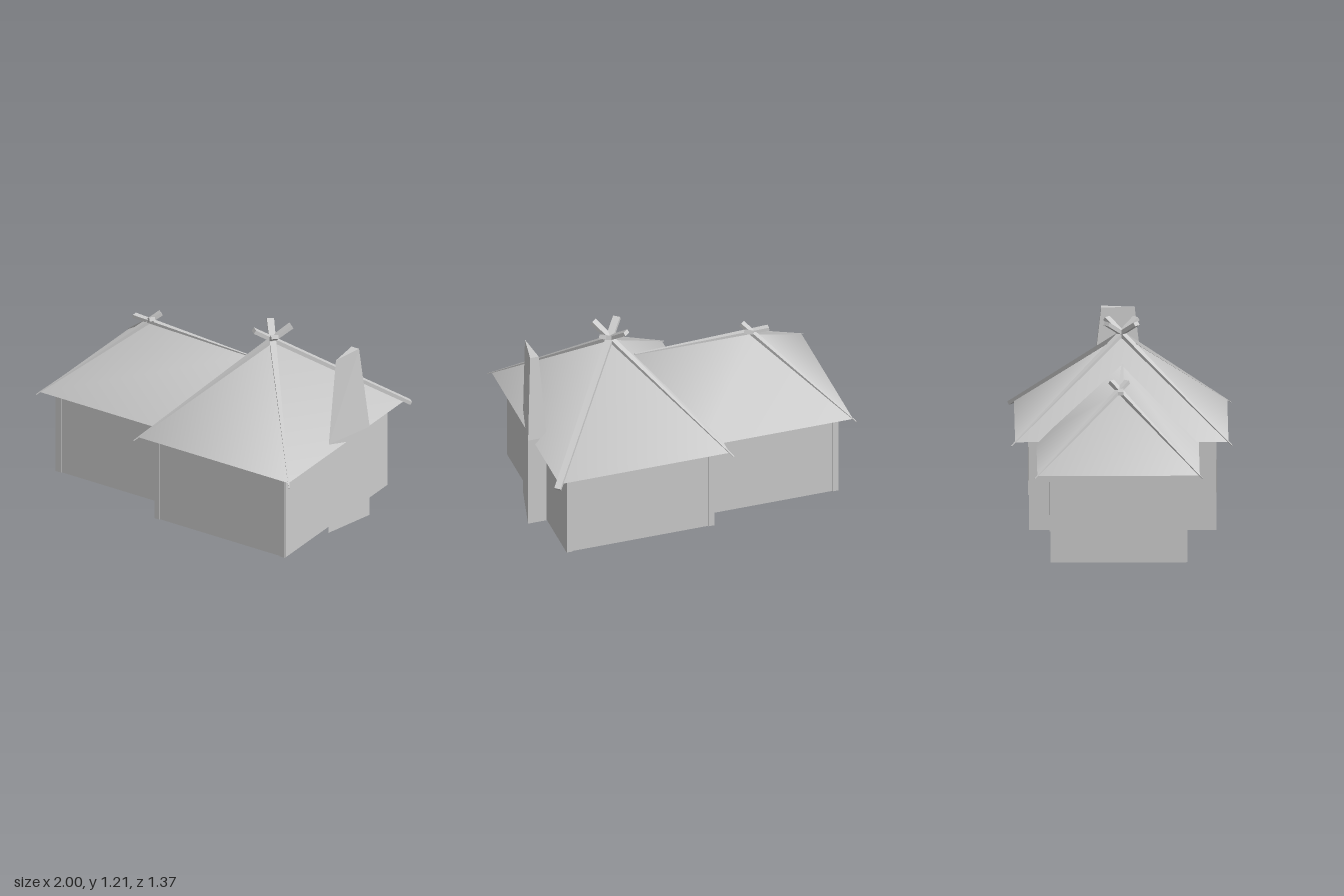
import * as THREE from 'three';

const material = new THREE.MeshStandardMaterial({ color: 0xcccccc, side: THREE.DoubleSide });

function createMesh(geometry, name) {
  const mesh = new THREE.Mesh(geometry, material);
  mesh.name = name;
  return mesh;
}

// Surface from corner points and triangles; smooth keeps shared normals
function surface(points, faces, smooth) {
  let geo = new THREE.BufferGeometry();
  geo.setAttribute('position', new THREE.Float32BufferAttribute(points.flat(), 3));
  geo.setIndex(faces.flat());
  if (!smooth) geo = geo.toNonIndexed();
  geo.computeVertexNormals();
  return geo;
}

// Skin stacked rings of equal corner count, leaving both ends open
function loft(rings, extraFaces = []) {
  const n = rings[0].length;
  const faces = [];
  for (let r = 0; r < rings.length - 1; r++) {
    for (let i = 0; i < n; i++) {
      const a = r * n + i, b = r * n + (i + 1) % n;
      faces.push([a, b, b + n], [a, b + n, a + n]);
    }
  }
  return surface(rings.flat(), faces.concat(extraFaces), false);
}

const rectangle = (x0, x1, z0, z1, y) => [[x0, y, z1], [x1, y, z1], [x1, y, z0], [x0, y, z0]];

// Timber between two points; startScale narrows its first end
function beam(name, from, to, width, height, startScale = 1) {
  const a = new THREE.Vector3(...from), b = new THREE.Vector3(...to);
  const geo = new THREE.BoxGeometry(width, height, a.distanceTo(b));
  const pos = geo.attributes.position;
  for (let i = 0; i < pos.count; i++) {
    if (pos.getZ(i) < 0) pos.setXY(i, pos.getX(i) * startScale, pos.getY(i) * startScale);
  }
  geo.computeVertexNormals();
  const mesh = createMesh(geo, name);
  mesh.position.copy(a).lerp(b, 0.5);
  mesh.lookAt(b);
  return mesh;
}

// Timber along a roof hip, running past the apex
function hipBeam(corner, apex, overshoot, width, startScale) {
  const a = new THREE.Vector3(...corner), p = new THREE.Vector3(...apex);
  const start = a.clone().lerp(p, -0.035);
  const end = a.clone().lerp(p, 1 + overshoot);
  end.y += 0.008;
  return beam('hipBeam', start.toArray(), end.toArray(), width, 0.025, startScale);
}

// Open-bottomed walls with a post at each corner, flush with the end walls
function walls(name, x0, x1, z0, z1, height) {
  const group = new THREE.Group();
  group.name = name;
  const inset = 0.006, post = 0.038, bottom = 0.004;
  group.add(createMesh(loft([bottom, height].map(
    (y) => rectangle(x0, x1, z0 + inset, z1 - inset, y))), 'wallPanels'));
  for (const x of [x0 + post / 2 + 0.001, x1 - post / 2 - 0.001]) {
    for (const z of [z0 + post / 2, z1 - post / 2]) {
      const mesh = createMesh(new THREE.BoxGeometry(post, height - bottom, post), 'cornerPost');
      mesh.position.set(x, (height + bottom) / 2, z);
      group.add(mesh);
    }
  }
  return group;
}

// Thin panel lying on a front or back wall
function panel(name, w, h, x, y, z) {
  const mesh = createMesh(new THREE.PlaneGeometry(w, h), name);
  mesh.position.set(x, y, z);
  if (z < 0) mesh.rotation.y = Math.PI;
  return mesh;
}

export function createModel() {
  const house = new THREE.Group();
  house.name = 'cottage';

  // Two joined blocks
  house.add(walls('mainWalls', -0.075, 0.88, -0.58, 0.57, 0.575));
  house.add(walls('wingWalls', -0.92, -0.07, -0.455, 0.385, 0.565));

  // Main pyramid roof with a flat underside
  const mainEaves = rectangle(-0.145, 0.955, -0.665, 0.642, 0.575);
  const mainApex = [0.41, 1.12, -0.01];
  house.add(createMesh(surface([...mainEaves, mainApex],
    [[0, 1, 4], [1, 2, 4], [2, 3, 4], [3, 0, 4]], true), 'mainRoof'));
  house.add(createMesh(surface(mainEaves, [[0, 2, 1], [0, 3, 2]], false), 'mainCeiling'));
  // The back right timber keeps its full width, the others taper to the eaves
  mainEaves.forEach((corner, i) => {
    house.add(hipBeam(corner, mainApex, 0.14, 0.045, i === 2 ? 0.9 : 0.15));
  });

  // Wing roof: hipped outer end, ridge running into the main roof
  const wingApex = [-0.5, 0.98, -0.03], ridgeEnd = [0.25, 0.965, -0.01];
  const wingEaves = rectangle(-0.985, 0, -0.535, 0.46, 0.565);
  house.add(createMesh(surface([...wingEaves, wingApex, ridgeEnd],
    [[0, 1, 5], [0, 5, 4], [3, 0, 4], [2, 3, 4], [2, 4, 5]], true), 'wingRoof'));
  house.add(createMesh(surface(wingEaves, [[0, 2, 1], [0, 3, 2]], false), 'wingCeiling'));
  for (const i of [0, 3]) house.add(hipBeam(wingEaves[i], wingApex, 0.1, 0.035, 0.15));
  house.add(beam('ridgeBeam', [0.25, 0.967, -0.005], [-0.61, 0.992, -0.022], 0.036, 0.022, 0.3));

  // Windows and door
  const windows = [[-0.49, 0.386], [0.155, 0.571], [-0.45, -0.456], [0.45, -0.581]];
  for (const [x, z] of windows) house.add(panel('window', 0.23, 0.21, x, 0.315, z));
  house.add(panel('door', 0.25, 0.465, 0.49, 0.242, 0.571));

  // Wedge-shaped chimney: straight base, tapered stack
  const base = (y) => [[0.92, y, 0.14], [1, y, -0.195], [0.88, y, -0.195]];
  const top = [[0.93, 1.168, 0.075], [0.965, 1.168, -0.13], [0.91, 1.168, -0.13]];
  house.add(createMesh(loft([base(0), base(0.61), top], [[6, 7, 8]]), 'chimney'));

  return house;
}
